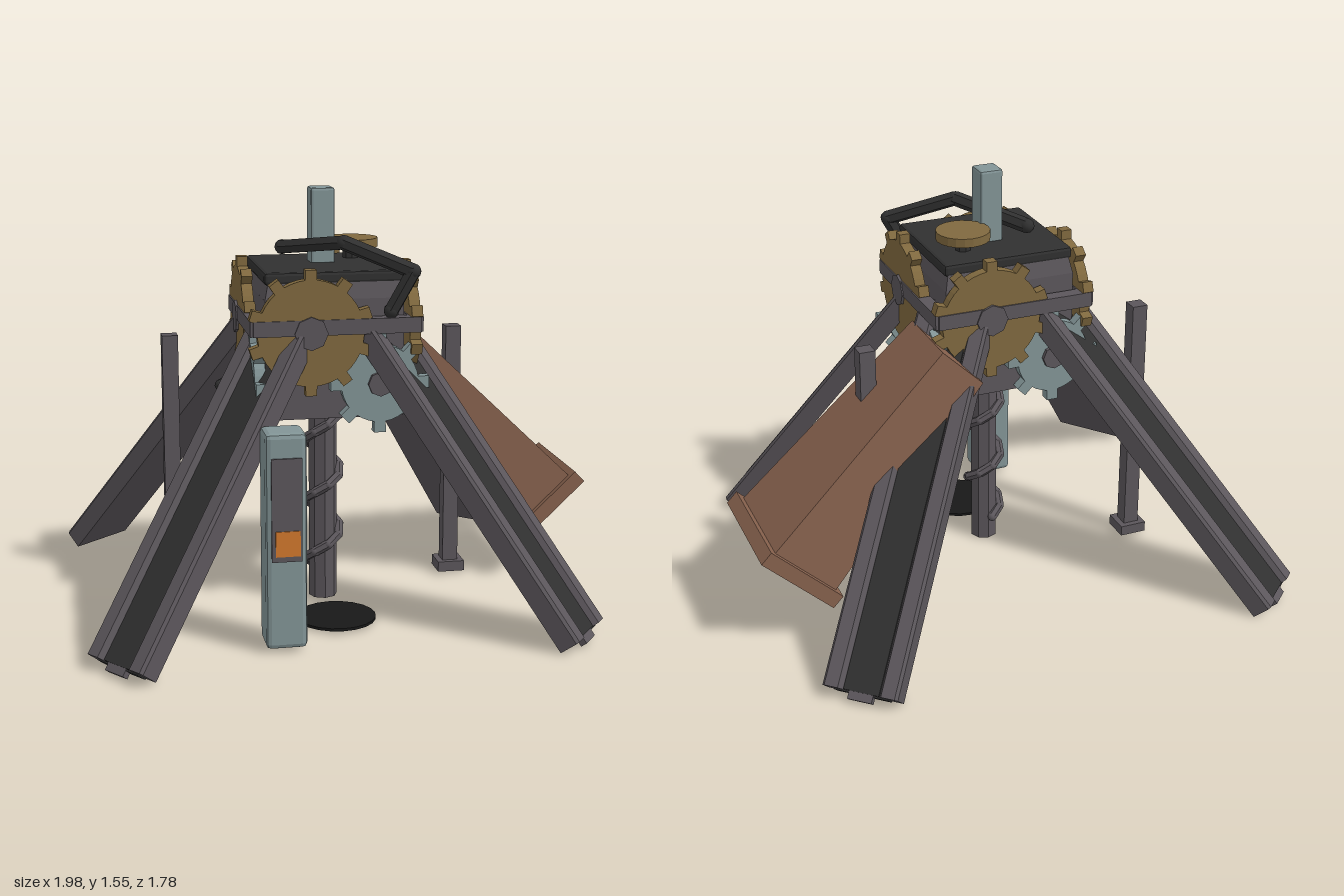
import * as THREE from 'three';
import { RoundedBoxGeometry } from 'three/addons/geometries/RoundedBoxGeometry.js';

const mat = (name, color) => {
  const m = new THREE.MeshStandardMaterial({ color });
  m.name = name;
  return m;
};
const V = (x, y, z) => new THREE.Vector3(x, y, z);
const CX = -0.055, CZ = 0.095; // plan centre of the machine body

// Faceted copy of a geometry
function flat(geo) {
  const g = geo.index ? geo.toNonIndexed() : geo;
  g.computeVertexNormals();
  return g;
}

// Toothed disc, thickness along z and centred
function gearGeometry(radius, teeth, toothHeight, toothWidth, depth) {
  const s = new THREE.Shape();
  const half = toothWidth / 2 / radius, step = (Math.PI * 2) / teeth;
  for (let i = 0; i < teeth; i++) {
    const a = Math.PI / 2 + i * step;
    const ring = [
      [a - half, radius], [a - half * 0.8, radius + toothHeight],
      [a + half * 0.8, radius + toothHeight], [a + half, radius],
      [a + step * 0.38, radius], [a + step * 0.62, radius],
    ];
    ring.forEach(([t, r], j) => {
      const x = Math.cos(t) * r, y = Math.sin(t) * r;
      if (i + j === 0) s.moveTo(x, y); else s.lineTo(x, y);
    });
  }
  const g = new THREE.ExtrudeGeometry(s, { depth, bevelEnabled: false });
  return g.translate(0, 0, -depth / 2);
}

export function createModel() {
  const root = new THREE.Group();
  root.name = 'drillingRig';
  const frame = mat('frame grey', 0x5b565b);
  const dark = mat('dark metal', 0x303030);
  const black = mat('black', 0x181818);
  const brass = mat('brass', 0x80693f);
  const steel = mat('pale steel', 0x829496);
  const copper = mat('copper', 0x86614d);
  const orange = mat('orange', 0xd0782c);

  const add = (parent, name, geo, material, x = 0, y = 0, z = 0) => {
    const m = new THREE.Mesh(geo, material);
    m.name = name;
    m.position.set(x, y, z);
    parent.add(m);
    return m;
  };
  const box = (w, h, d) => new THREE.BoxGeometry(w, h, d);
  const soft = (w, h, d, r) => flat(new RoundedBoxGeometry(w, h, d, 1, r));
  const cyl = (r, h, n, r2 = r) => flat(new THREE.CylinderGeometry(r, r2, h, n));

  // Chain of straight rods with faceted joints
  const rods = (name, pts, r, material) => {
    const g = new THREE.Group();
    g.name = name;
    pts.forEach((p, i) => {
      add(g, name + 'Joint', new THREE.IcosahedronGeometry(r, 1), material, p.x, p.y, p.z);
      if (i === 0) return;
      const d = p.clone().sub(pts[i - 1]), mid = p.clone().add(pts[i - 1]).multiplyScalar(0.5);
      const m = add(g, name + 'Rod', cyl(r, d.length(), 6), material, mid.x, mid.y, mid.z);
      m.quaternion.setFromUnitVectors(V(0, 1, 0), d.normalize());
    });
    root.add(g);
  };

  // Body with chamfered roof and dark lid
  add(root, 'body', box(0.5, 0.43, 0.5), frame, CX, 0.965, CZ);
  const roof = cyl(0.335, 0.06, 4, 0.3535);
  roof.rotateY(Math.PI / 4);
  add(root, 'roof', flat(roof), frame, CX, 1.21, CZ);
  add(root, 'lid', soft(0.5, 0.045, 0.48, 0.012), dark, CX, 1.255, CZ);

  // Each side: brass gear, smaller steel gear, hubs and a rail
  const bigGear = gearGeometry(0.19, 10, 0.035, 0.042, 0.04);
  const smallGear = gearGeometry(0.14, 8, 0.04, 0.042, 0.04);
  for (let k = 0; k < 4; k++) {
    const side = new THREE.Group();
    side.name = 'gearSide';
    side.position.set(CX, 0, CZ);
    side.rotation.y = (k * Math.PI) / 2;
    add(side, 'brassGear', bigGear, brass, -0.095, 1.07, 0.285);
    add(side, 'steelGear', smallGear, steel, 0.155, 0.88, 0.275);
    add(side, 'brassGearHub', cyl(0.06, 0.06, 8), frame, -0.095, 1.07, 0.285).rotation.x = Math.PI / 2;
    add(side, 'steelGearHub', cyl(0.045, 0.06, 8), frame, 0.155, 0.88, 0.28).rotation.x = Math.PI / 2;
    add(side, 'rail', box(0.6, 0.055, 0.05), frame, 0, 1.09, 0.285);
    root.add(side);
  }

  // Four splayed channel legs with dark inlay
  const profile = new THREE.Shape([
    [-0.14, -0.08], [0.14, -0.08], [0.14, -0.01], [0.13, 0], [0.08, 0], [0.065, -0.03],
    [-0.065, -0.03], [-0.08, 0], [-0.13, 0], [-0.14, -0.01],
  ].map(([x, y]) => new THREE.Vector2(x, y)));
  for (const sx of [-1, 1]) for (const sz of [-1, 1]) {
    const foot = V(CX + sx * 0.835, 0.05, sz > 0 ? 0.78 : -0.805);
    const top = V(CX + sx * 0.19, 1.11, CZ + sz * 0.19);
    const axis = top.clone().sub(foot), len = axis.length();
    axis.normalize();
    const across = V(0, 1, 0).cross(axis).normalize();
    const normal = axis.clone().cross(across);
    const leg = new THREE.Group();
    leg.name = 'leg';
    leg.quaternion.setFromRotationMatrix(new THREE.Matrix4().makeBasis(across, normal, axis));
    leg.position.copy(foot);
    add(leg, 'legBeam', new THREE.ExtrudeGeometry(profile, { depth: len, bevelEnabled: false }), frame);
    add(leg, 'legInlay', box(0.132, 0.012, len - 0.004), dark, 0, -0.025, len / 2);
    add(leg, 'legEndPlate', box(0.2, 0.045, 0.006), dark, 0, -0.047, -0.002);
    add(leg, 'footClaw', box(0.09, 0.025, 0.03), frame, 0, -0.035, -0.012);
    root.add(leg);
  }

  // Drill shaft and spiral
  add(root, 'drillShaft', cyl(0.053, 0.78, 8), frame, CX, 0.39, CZ);
  const spiral = [];
  for (let i = 0; i <= 22; i++) {
    const y = 0.1 + i * 0.029, t = Math.PI / 2 - (Math.PI * 2 * (y - 0.21)) / 0.232;
    spiral.push(V(CX + Math.cos(t) * 0.065, y, CZ + Math.sin(t) * 0.065));
  }
  rods('drillSpiral', spiral, 0.018, frame);

  // Exhaust post, brass cap and bent pipes
  add(root, 'topPost', soft(0.09, 0.28, 0.09, 0.01), steel, CX, 1.41, 0.065);
  add(root, 'brassCap', cyl(0.1, 0.033, 20), brass, 0.072, 1.336, -0.012);
  add(root, 'capStem', cyl(0.03, 0.06, 8), dark, 0.072, 1.295, -0.012);
  rods('topPipe', [V(-0.19, 1.325, 0.005), V(-0.01, 1.37, 0.27), V(0.215, 1.28, 0.4), V(0.14, 1.14, 0.385)], 0.028, dark);
  rods('sidePipe', [V(-0.34, 0.86, -0.01), V(-0.435, 0.83, 0.09), V(-0.34, 0.78, 0.2)], 0.022, dark);

  // Tapered discharge chute, local y running up the slope
  const chute = new THREE.Group();
  chute.name = 'chute';
  chute.position.set(0.865, 0.26, -0.175);
  chute.rotation.z = 0.76;
  const duct = box(0.3, 0.96, 0.43), p = duct.attributes.position;
  for (let i = 0; i < p.count; i++) {
    if (p.getY(i) > 0) p.setXYZ(i, p.getX(i) * 0.7, p.getY(i), p.getZ(i) * 0.72);
  }
  duct.translate(0, 0.48, 0);
  add(chute, 'chuteDuct', flat(duct), copper, 0, 0.005, 0);
  add(chute, 'chuteFlange', box(0.35, 0.055, 0.47), copper, 0, 0.0275, 0);
  add(chute, 'chuteMouth', box(0.24, 0.008, 0.37), black, 0, -0.002, 0);
  root.add(chute);

  // Support posts with base plates
  for (const x of [-0.603, 0.49]) {
    add(root, 'supportPost', box(0.06, 0.98, 0.06), frame, x, 0.5, -0.105);
    add(root, 'supportBase', box(0.105, 0.04, 0.105), frame, x, 0.025, -0.105);
  }

  // Control pillar with panel and screen
  add(root, 'controlPillar', soft(0.145, 0.77, 0.14, 0.018), steel, -0.283, 0.395, 0.595);
  add(root, 'controlPanel', box(0.106, 0.365, 0.009), frame, -0.283, 0.513, 0.668);
  add(root, 'controlScreen', box(0.086, 0.09, 0.006), orange, -0.28, 0.395, 0.673);

  // Ground disc
  add(root, 'groundDisc', cyl(0.145, 0.01, 20), black, CX, 0.01, 0.372);

  return root;
}
